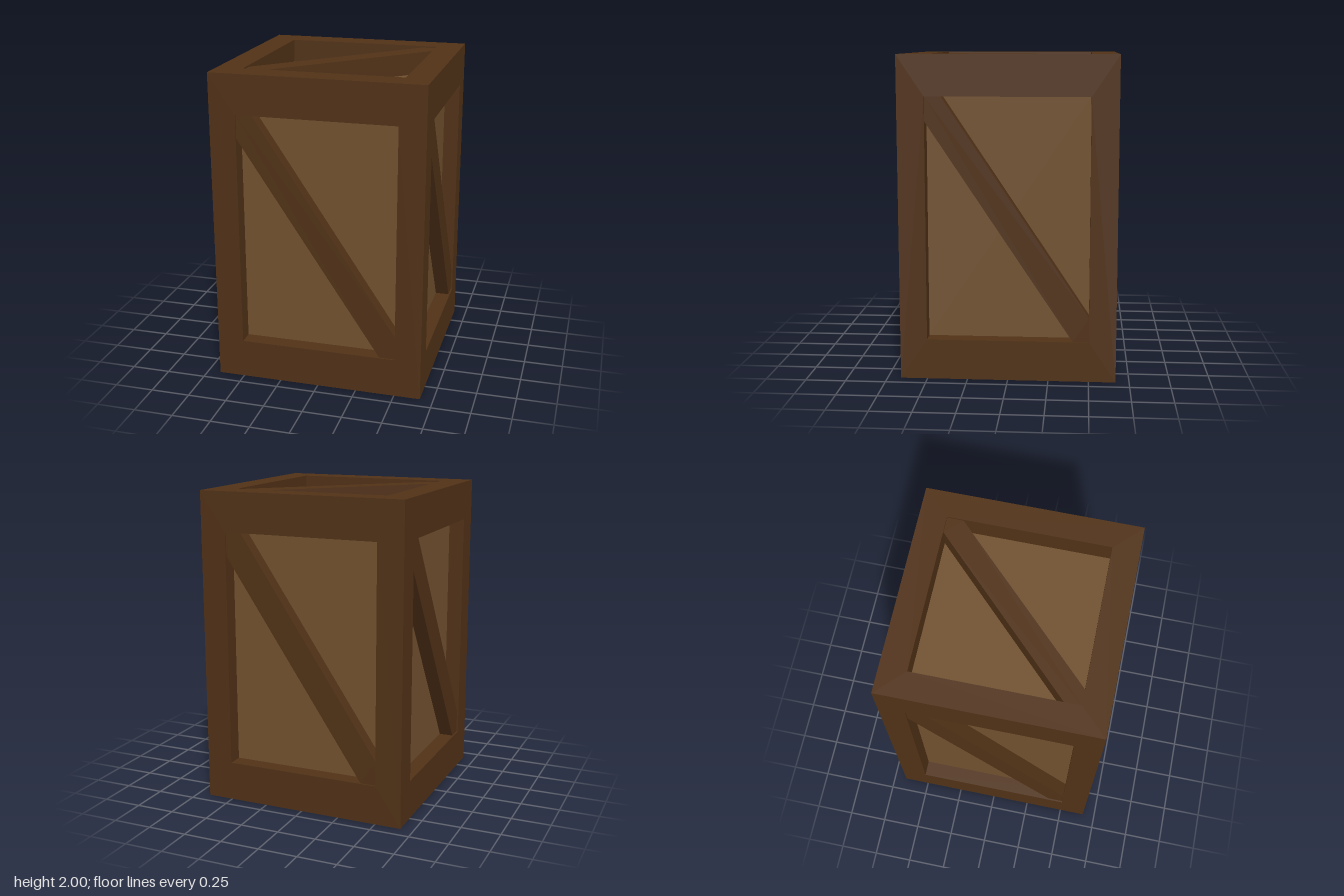
import * as THREE from 'three';
import { mergeGeometries } from 'three/addons/utils/BufferGeometryUtils.js';

const W = 4 / 3, H = 2;          // crate width/depth and height
const OPEN = 0.75;               // opening size as a share of each face
const frameMat = new THREE.MeshStandardMaterial({ color: 0x503116, flatShading: true });
const panelMat = new THREE.MeshStandardMaterial({ color: 0x70502e, flatShading: true });

function rect(target, w, h) {
  target.moveTo(-w / 2, -h / 2);
  target.lineTo(w / 2, -h / 2);
  target.lineTo(w / 2, h / 2);
  target.lineTo(-w / 2, h / 2);
  target.closePath();
  return target;
}

// Flat border with a hole, plus the four walls stepping back to the panel
function frameGeometry(w, h, depth) {
  const ow = w * OPEN, oh = h * OPEN;
  const border = rect(new THREE.Shape(), w, h);
  border.holes.push(rect(new THREE.Path(), ow, oh));
  const parts = [new THREE.ShapeGeometry(border)];
  for (const s of [-1, 1]) {
    parts.push(
      new THREE.PlaneGeometry(ow, depth).rotateX(s * Math.PI / 2).translate(0, s * oh / 2, -depth / 2),
      new THREE.PlaneGeometry(depth, oh).rotateY(-s * Math.PI / 2).translate(s * ow / 2, 0, -depth / 2)
    );
  }
  return mergeGeometries(parts);
}

// Diagonal plank with its ends cut to fit two opposite corners of the opening
function braceGeometry(w, h, depth, side) {
  const x = w * OPEN / 2, y = h * OPEN / 2, k = 0.8;
  const points = [[-x, y], [-x, y * k], [x * k, -y], [x, -y], [x, -y * k], [-x * k, y]];
  const shape = new THREE.Shape(points.map(([px, py]) => new THREE.Vector2(px * side, py)));
  return new THREE.ExtrudeGeometry(shape, { depth: depth - 0.01, bevelEnabled: false })
    .translate(0, 0, -depth);
}

// One crate face, lying in z = 0 and facing +z; braceSide 0 leaves the brace out
function crateFace(name, w, h, depth, braceSide) {
  const face = new THREE.Group();
  face.name = name;
  const add = (part, geometry, material) => {
    const mesh = new THREE.Mesh(geometry, material);
    mesh.name = part;
    face.add(mesh);
  };
  add('frame', frameGeometry(w, h, depth), frameMat);
  add('panel', new THREE.PlaneGeometry(w * OPEN, h * OPEN).translate(0, 0, -depth), panelMat);
  if (braceSide) add('brace', braceGeometry(w, h, depth, braceSide), frameMat);
  return face;
}

export function createModel() {
  const crate = new THREE.Group();
  crate.name = 'crate';

  // Four identical sides turned around the vertical axis
  ['frontSide', 'leftSide', 'backSide', 'rightSide'].forEach((name, i) => {
    const side = crateFace(name, W, H, 0.1, 1);
    const a = i * Math.PI / 2;
    side.rotation.y = a;
    side.position.set(Math.sin(a) * W / 2, H / 2, Math.cos(a) * W / 2);
    crate.add(side);
  });

  // Lid and base are recessed deeper; the base has no brace
  const lid = crateFace('lid', W, W, 0.15, -1);
  lid.rotation.x = -Math.PI / 2;
  lid.position.y = H;
  const base = crateFace('base', W, W, 0.15, 0);
  base.rotation.x = Math.PI / 2;
  crate.add(lid, base);

  return crate;
}
